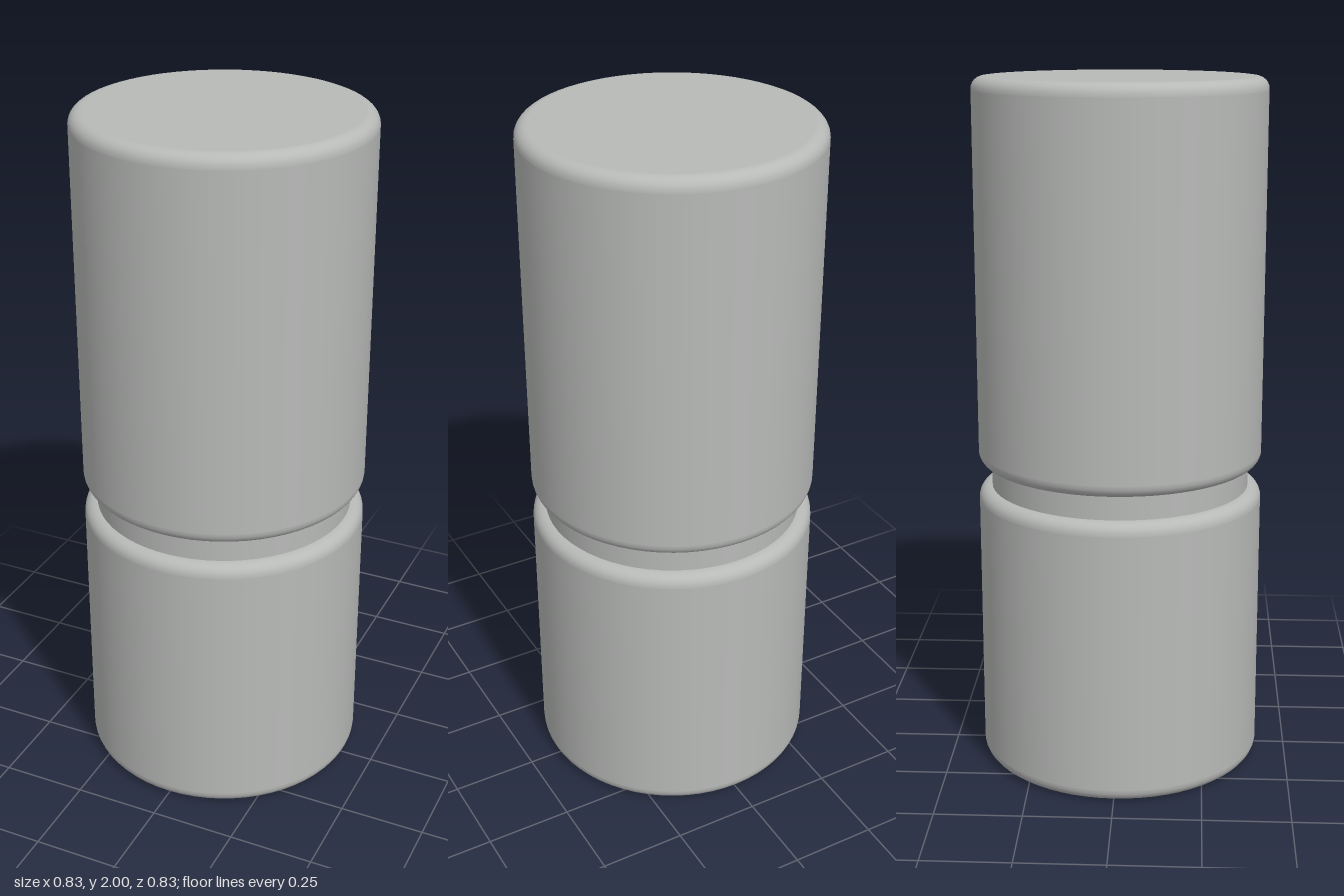
import * as THREE from 'three';

const RADIUS = 0.413;
const FILLET = 0.035;
const SIDES = 64;

// Solid cylinder with rounded rims, standing between two heights
function roundedCylinder(name, bottom, top, material) {
  const inner = RADIUS - FILLET;
  const steps = 6;
  const points = [new THREE.Vector2(0, bottom), new THREE.Vector2(inner - 0.003, bottom)];
  const addRim = (centreY, startAngle) => {
    for (let i = 0; i <= steps; i++) {
      const a = startAngle + (i / steps) * Math.PI / 2;
      points.push(new THREE.Vector2(inner + FILLET * Math.cos(a), centreY + FILLET * Math.sin(a)));
    }
  };
  addRim(bottom + FILLET, -Math.PI / 2);
  // Extra rings keep the wall shading straight
  points.push(new THREE.Vector2(RADIUS, bottom + FILLET + 0.003));
  points.push(new THREE.Vector2(RADIUS, top - FILLET - 0.003));
  addRim(top - FILLET, 0);
  points.push(new THREE.Vector2(inner - 0.003, top), new THREE.Vector2(0, top));
  const mesh = new THREE.Mesh(new THREE.LatheGeometry(points, SIDES), material);
  mesh.name = name;
  return mesh;
}

export function createModel() {
  const model = new THREE.Group();
  model.name = 'cappedCylinder';
  const grey = new THREE.MeshStandardMaterial({ color: 0xb8bab8 });
  grey.name = 'light grey';

  // Lower body and taller upper cap
  model.add(roundedCylinder('lowerBody', 0, 0.83, grey));
  model.add(roundedCylinder('upperCap', 0.9, 2, grey));

  // Recessed neck in the gap
  const neck = new THREE.Mesh(new THREE.CylinderGeometry(0.375, 0.375, 0.09, SIDES), grey);
  neck.name = 'neck';
  neck.position.y = 0.865;
  model.add(neck);

  return model;
}
